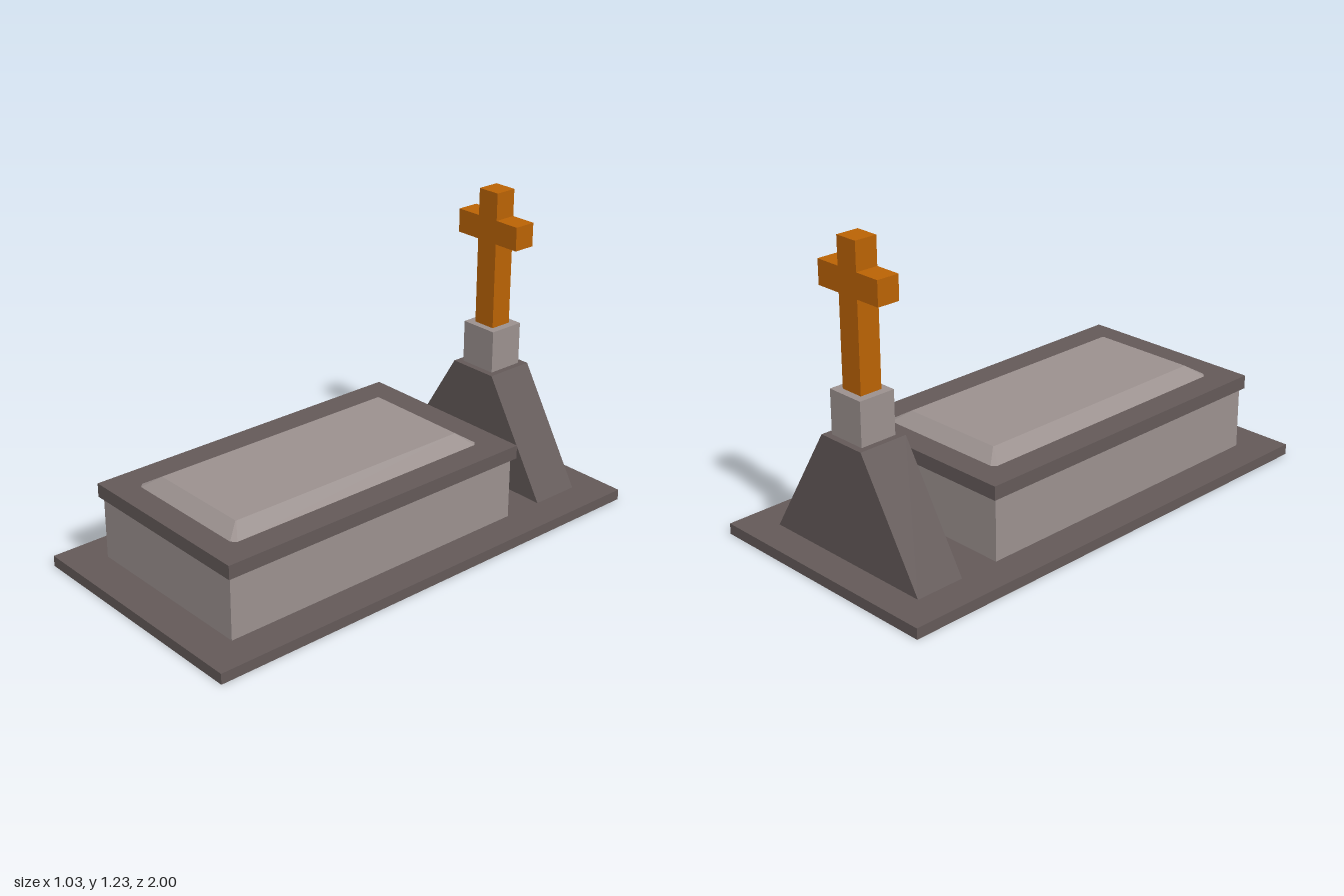
import * as THREE from 'three';

const darkStone = new THREE.MeshStandardMaterial({ color: 0x635958, side: THREE.DoubleSide });
const paleStone = new THREE.MeshStandardMaterial({ color: 0x9a908e, side: THREE.DoubleSide });
const wood = new THREE.MeshStandardMaterial({ color: 0xb96204 });
darkStone.name = 'darkStone';
paleStone.name = 'paleStone';
wood.name = 'wood';

// Rectangle in plan with optional cut corners, as [x, z] points seen anticlockwise from above
function plan(hx, zBack, zFront, cut = 0) {
  if (!cut) return [[-hx, zFront], [hx, zFront], [hx, zBack], [-hx, zBack]];
  return [
    [-hx + cut, zFront], [hx - cut, zFront], [hx, zFront - cut], [hx, zBack + cut],
    [hx - cut, zBack], [-hx + cut, zBack], [-hx, zBack + cut], [-hx, zFront - cut],
  ];
}

// Level sheet with an opening in it
function ring(outer, hole, y) {
  const points = (loop) => loop.map(([x, z]) => new THREE.Vector2(x, -z));
  const shape = new THREE.Shape(points(outer));
  shape.holes.push(new THREE.Path(points(hole)));
  return new THREE.ShapeGeometry(shape).rotateX(-Math.PI / 2).translate(0, y, 0);
}

// Flat-faced skin between two loops, optionally closed on top
function skin(lower, upper, y0, y1, capped = false) {
  const pos = [];
  const n = lower.length;
  const low = (i) => [lower[i % n][0], y0, lower[i % n][1]];
  const high = (i) => [upper[i % n][0], y1, upper[i % n][1]];
  for (let i = 0; i < n; i++) {
    pos.push(...low(i), ...low(i + 1), ...high(i + 1));
    pos.push(...low(i), ...high(i + 1), ...high(i));
    if (capped && i > 0 && i < n - 1) pos.push(...high(0), ...high(i), ...high(i + 1));
  }
  const geo = new THREE.BufferGeometry();
  geo.setAttribute('position', new THREE.Float32BufferAttribute(pos, 3));
  geo.computeVertexNormals();
  return geo;
}

// Front outline extruded between two depths
function upright(outline, z0, z1) {
  const shape = new THREE.Shape(outline.map(([x, y]) => new THREE.Vector2(x, y)));
  return new THREE.ExtrudeGeometry(shape, { depth: z1 - z0, bevelEnabled: false }).translate(0, 0, z0);
}

export function createModel() {
  const group = new THREE.Group();
  group.name = 'tomb';
  const add = (name, geo, mat) => {
    const mesh = new THREE.Mesh(geo, mat);
    mesh.name = name;
    group.add(mesh);
  };

  // One continuous shell, open below: ground slab, chest, overhanging lid and raised panel
  const base = plan(0.517, -1, 1);
  const chest = plan(0.38, -0.505, 0.85);
  const lid = plan(0.395, -0.523, 0.864);
  const panelFoot = plan(0.285, -0.42, 0.76, 0.018);
  const [baseTop, lidBottom, lidTop, panelTop] = [0.043, 0.295, 0.35, 0.39];
  add('groundSlabEdge', skin(base, base, 0, baseTop), darkStone);
  add('groundSlabTop', ring(base, chest, baseTop), darkStone);
  add('chestWalls', skin(chest, chest, baseTop, lidBottom), paleStone);
  add('lidUnderside', ring(lid, chest, lidBottom).scale(1, 1, 1), darkStone);
  add('lidEdge', skin(lid, lid, lidBottom, lidTop), darkStone);
  add('lidTop', ring(lid, panelFoot, lidTop), darkStone);
  add('raisedPanel', skin(panelFoot, plan(0.22, -0.36, 0.698, 0.002), lidTop, panelTop, true), paleStone);

  // Tapered pedestal and its block
  const sides = [[-0.382, baseTop], [0.382, baseTop], [0.105, 0.5], [-0.105, 0.5]];
  add('pedestal', upright(sides, -0.875, -0.671), darkStone);
  const block = new THREE.BoxGeometry(0.16, 0.173, 0.152).translate(0, 0.5865, -0.773);
  add('pedestalBlock', block, paleStone);

  // Cross outline, mirrored from its right half
  const half = [[0.048, 0.673], [0.048, 1.024], [0.155, 1.024], [0.155, 1.12], [0.048, 1.12], [0.048, 1.23]];
  const mirrored = half.map(([x, y]) => [-x, y]).reverse();
  add('cross', upright([...half, ...mirrored], -0.818, -0.726), wood);

  return group;
}
